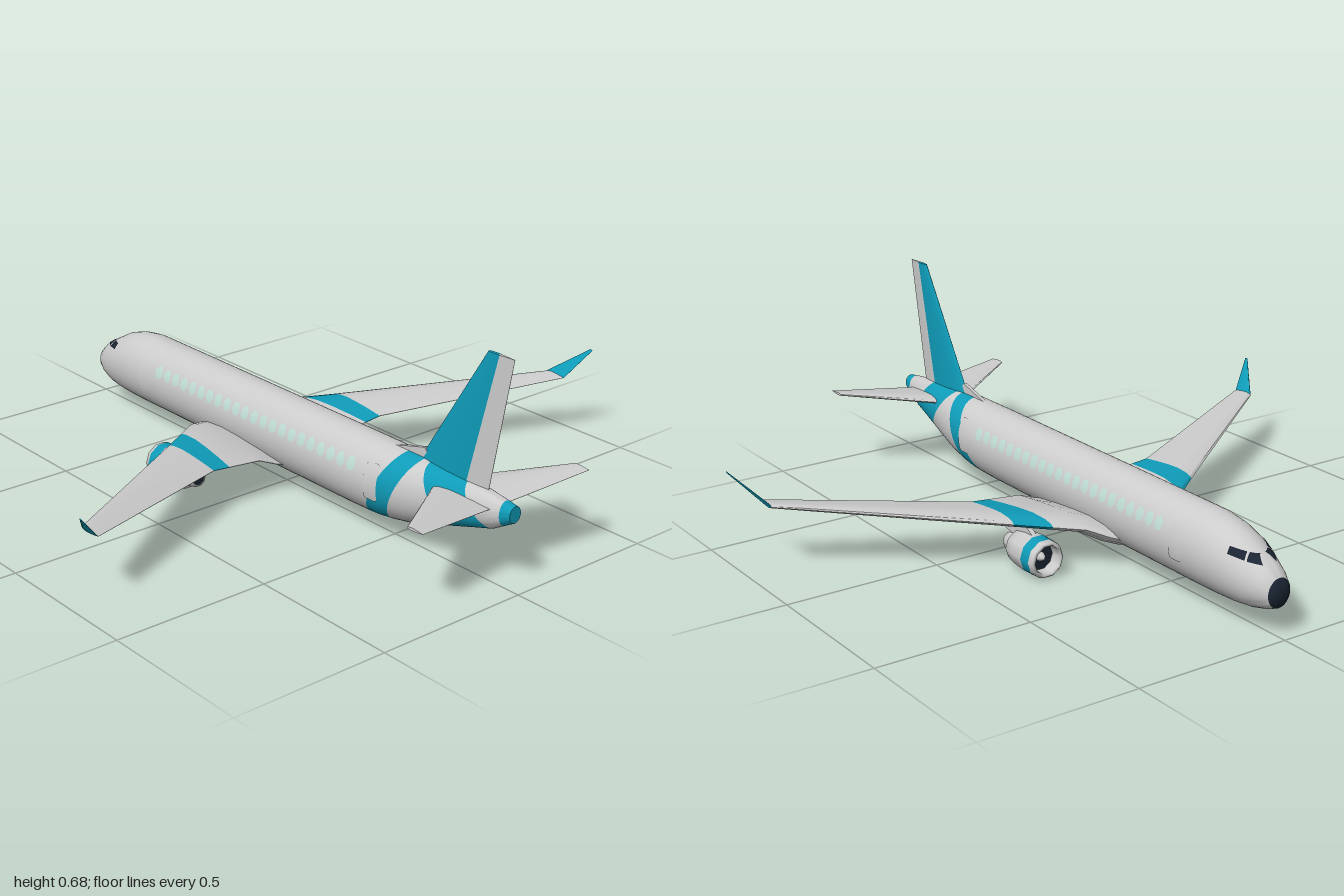
import * as THREE from 'three';
import { toCreasedNormals } from 'three/addons/utils/BufferGeometryUtils.js';

const GREY = 0xcccccc, TEAL = 0x0f9bb8, DARK = 0x1b2533, GLASS = 0xbfdcd4;
const mats = {};
const mat = (c) => (mats[c] ??= new THREE.MeshStandardMaterial({ color: c, side: THREE.DoubleSide }));
const lerp = THREE.MathUtils.lerp;

// Linear lookup in a table whose rows start with the key
function look(table, k) {
  let i = 0;
  while (i < table.length - 2 && k > table[i + 1][0]) i++;
  const a = table[i], b = table[i + 1];
  const f = THREE.MathUtils.clamp((k - a[0]) / (b[0] - a[0]), 0, 1);
  return a.map((v, j) => lerp(v, b[j], f));
}

// Skin closed rings, cap both ends, and split the result into one mesh per colour
function loft(name, rings, colourOf, crease = 0.7) {
  const n = rings[0].length, pos = [], colours = [];
  const tri = (a, b, c, col) => {
    for (const p of [a, b, c]) pos.push(p.x, p.y, p.z);
    colours.push(col);
  };
  for (let i = 0; i < rings.length - 1; i++) {
    for (let j = 0; j < n; j++) {
      const k = (j + 1) % n, col = colourOf(i, j);
      const [a, b, c, d] = [rings[i][j], rings[i][k], rings[i + 1][k], rings[i + 1][j]];
      tri(a, b, c, col);
      tri(a, c, d, col);
    }
  }
  for (const [ring, i] of [[rings[0], 0], [rings.at(-1), rings.length - 2]]) {
    const mid = ring.reduce((s, p) => s.add(p), new THREE.Vector3()).divideScalar(n);
    for (let j = 0; j < n; j++) {
      const a = ring[j], b = ring[(j + 1) % n];
      if (i === 0 && ring === rings[0]) tri(mid, b, a, colourOf(i, j));
      else tri(mid, a, b, colourOf(i, j));
    }
  }
  // Turn the skin outward if its enclosed volume comes out negative
  let vol = 0;
  const v = [0, 1, 2].map(() => new THREE.Vector3());
  for (let t = 0; t < pos.length; t += 9) {
    v.forEach((p, q) => p.fromArray(pos, t + q * 3));
    vol += v[0].dot(v[1].clone().cross(v[2]));
  }
  if (vol < 0) {
    for (let t = 0; t < pos.length; t += 9) {
      for (let q = 0; q < 3; q++) [pos[t + q], pos[t + 3 + q]] = [pos[t + 3 + q], pos[t + q]];
    }
  }
  const geo = new THREE.BufferGeometry();
  geo.setAttribute('position', new THREE.Float32BufferAttribute(pos, 3));
  const smooth = toCreasedNormals(geo, crease);
  const group = new THREE.Group();
  group.name = name;
  for (const col of new Set(colours)) {
    const part = new THREE.BufferGeometry();
    for (const key of ['position', 'normal']) {
      const src = smooth.attributes[key].array, out = [];
      colours.forEach((c, t) => { if (c === col) out.push(...src.slice(t * 9, t * 9 + 9)); });
      part.setAttribute(key, new THREE.Float32BufferAttribute(out, 3));
    }
    const mesh = new THREE.Mesh(part, mat(col));
    mesh.name = name + (col === TEAL ? 'Stripe' : col === DARK ? 'Tip' : 'Skin');
    group.add(mesh);
  }
  return group;
}

// Fuselage stations: x, bottom, top, half width
const BODY = [
  [-0.98, 0.105, 0.16, 0.025], [-0.97, 0.09, 0.18, 0.04], [-0.94, 0.078, 0.205, 0.055],
  [-0.89, 0.066, 0.233, 0.073], [-0.83, 0.06, 0.265, 0.086], [-0.77, 0.058, 0.284, 0.093],
  [-0.7, 0.057, 0.294, 0.097], [0.4, 0.057, 0.294, 0.097], [0.5, 0.062, 0.294, 0.096],
  [0.6, 0.08, 0.294, 0.086], [0.7, 0.11, 0.291, 0.07], [0.8, 0.142, 0.286, 0.052],
  [0.9, 0.172, 0.278, 0.035], [0.975, 0.215, 0.266, 0.022],
];

function fuselage() {
  // Cuts: x at the keel, x at the crown, colour of the skin behind the cut
  const cuts = [
    ...BODY.slice(0, 7).map(([x], i) => [x, x, i ? GREY : DARK]),
    [0.36, 0.42, GREY], [0.43, 0.555, TEAL], [0.475, 0.59, TEAL], [0.52, 0.625, GREY],
    [0.6, 0.632, GREY], [0.69, 0.642, GREY], [0.77, 0.65, TEAL], [0.835, 0.725, TEAL],
    [0.9, 0.8, GREY], [0.92, 0.87, GREY], [0.94, 0.94, TEAL], [0.975, 0.975, TEAL],
  ];
  const n = 36;
  const rings = cuts.map(([xb, xt]) => Array.from({ length: n }, (_, j) => {
    const a = (j / n) * Math.PI * 2, t = (1 + Math.sin(a)) / 2, x = lerp(xb, xt, t);
    const [, lo, hi, w] = look(BODY, x);
    return new THREE.Vector3(x, lerp(lo, hi, t), w * Math.cos(a));
  }));
  return loft('fuselage', rings, (i) => cuts[i][2]);
}

// A patch lying on the fuselage side; map turns u, v in -1..1 into x, y
function sidePatch(name, colour, s, nu, nv, map) {
  const geo = new THREE.PlaneGeometry(2, 2, nu, nv), p = geo.attributes.position;
  for (let i = 0; i < p.count; i++) {
    const [x, y] = map(p.getX(i), p.getY(i));
    const [, lo, hi, w] = look(BODY, x);
    const k = (y - (lo + hi) / 2) / ((hi - lo) / 2);
    const c = Math.sqrt(Math.max(0, 1 - k * k));
    p.setXYZ(i, x, y + 0.002 * k, s * (w + 0.002) * c);
  }
  geo.computeVertexNormals();
  const mesh = new THREE.Mesh(geo, mat(colour));
  mesh.name = name;
  return mesh;
}

// Rounded panel: power 2 is an oval, higher is squarer
const panel = (name, colour, s, x, y, w, h, power) => sidePatch(name, colour, s, 1, 12, (u, v) => {
  const r = Math.sin(v * 1.5);
  return [x + u * w * (1 - Math.abs(r) ** power) ** (1 / power), y + r * h];
});

const quad = (name, s, [a, b, c, d]) => sidePatch(name, DARK, s, 6, 6, (u, v) => {
  const f = (u + 1) / 2, g = (v + 1) / 2;
  return [0, 1].map((k) => lerp(lerp(a[k], b[k], f), lerp(d[k], c[k], f), g));
});

// Aerofoil loop: chord fraction and signed share of the thickness
const UPPER = [[1, 0.04], [0.75, 0.5], [0.5, 0.85], [0.3, 1], [0.12, 0.8], [0.03, 0.42]];
const FOIL = [...UPPER, [0, 0], ...UPPER.map(([c, t]) => [c, -t]).reverse()];

// Lifting surface from a table of z, leading x, trailing x, y, thickness
function wing(name, table, cuts, s) {
  const rings = cuts.map(([zl, zt]) => FOIL.map(([c, t]) => {
    const z = lerp(zl, zt, c), [, xl, xt, y, th] = look(table, z);
    return new THREE.Vector3(lerp(xl, xt, c), y + (t * th) / 2, s * z);
  }));
  return loft(name, rings, (i) => cuts[i][2], 0.5);
}

const MAIN = [
  [0.05, -0.36, 0.07, 0.095, 0.07], [0.1, -0.335, 0.07, 0.11, 0.064], [0.16, -0.295, 0.06, 0.135, 0.048],
  [0.335, -0.172, 0.06, 0.152, 0.034], [0.92, 0.23, 0.31, 0.212, 0.014], [1, 0.345, 0.357, 0.302, 0.005],
];
const MAIN_CUTS = [[0.05, 0.05, GREY], [0.1, 0.1, GREY], [0.16, 0.16, GREY], [0.24, 0.275, TEAL],
  [0.335, 0.335, GREY], [0.92, 0.92, TEAL], [1, 1, TEAL]];
const TAIL = [[0.01, 0.675, 0.905, 0.24, 0.026], [0.325, 0.89, 0.95, 0.273, 0.009]];
const TAIL_CUTS = [[0.01, 0.01, GREY], [0.325, 0.325, GREY]];

// Fin: y, leading x, stripe edge x, trailing x, thickness
function fin() {
  const rows = [[0.24, 0.57, 0.785, 0.865, 0.03], [0.685, 0.85, 0.895, 0.948, 0.012]];
  const rings = rows.map(([y, xl, xs, xt, th]) => FOIL.map(([c, t]) => new THREE.Vector3(
    c < 0.5 ? lerp(xl, xs, c * 2) : lerp(xs, xt, c * 2 - 1), y, (t * th) / 2)));
  return loft('fin', rings, (i, j) => (j >= 2 && j < FOIL.length - 3 ? TEAL : GREY), 0.5);
}

// Thin upright plate from x, y points
function plate(name, pts, thick, z) {
  const shape = new THREE.Shape(pts.map(([x, y]) => new THREE.Vector2(x, y)));
  const geo = new THREE.ExtrudeGeometry(shape, { depth: thick, bevelEnabled: false });
  const mesh = new THREE.Mesh(geo, mat(GREY));
  mesh.position.z = z - thick / 2;
  mesh.name = name;
  return mesh;
}

function engine(s) {
  const group = new THREE.Group();
  group.name = s > 0 ? 'leftEngine' : 'rightEngine';
  // Each part: name, colour, profile of x and radius from rear to front
  const parts = [
    ['nacelle', GREY, [[-0.135, 0.04], [-0.13, 0.05], [-0.17, 0.058], [-0.225, 0.062]]],
    ['nacelleStripe', TEAL, [[-0.225, 0.062], [-0.262, 0.06]]],
    ['inletLip', GREY, [[-0.262, 0.06], [-0.279, 0.055], [-0.285, 0.049], [-0.276, 0.045], [-0.235, 0.043]]],
    ['fan', DARK, [[-0.24, 0.044], [-0.24, 0.014]]],
    ['spinner', GREY, [[-0.24, 0.015], [-0.255, 0.009], [-0.262, 0]]],
    ['core', GREY, [[-0.08, 0.022], [-0.08, 0.027], [-0.105, 0.034], [-0.14, 0.041]]],
    ['exhaust', DARK, [[-0.082, 0], [-0.082, 0.023]]],
  ];
  for (const [name, colour, pts] of parts) {
    const geo = new THREE.LatheGeometry(pts.map(([x, r]) => new THREE.Vector2(r, -x)), 10);
    const mesh = new THREE.Mesh(geo.rotateZ(Math.PI / 2), mat(colour));
    mesh.position.set(0, 0.064, s * 0.288);
    mesh.name = name;
    group.add(mesh);
  }
  group.add(plate('pylon', [[-0.22, 0.115], [-0.12, 0.09], [-0.06, 0.105], [0, 0.148], [-0.16, 0.148]], 0.016, s * 0.288));
  return group;
}

export function createModel() {
  const model = new THREE.Group();
  model.name = 'airliner';
  model.add(fuselage(), fin());
  model.add(plate('finFillet', [[0.47, 0.285], [0.66, 0.28], [0.62, 0.325]], 0.012, 0));
  for (const s of [1, -1]) {
    const side = s > 0 ? 'left' : 'right';
    model.add(wing(side + 'Wing', MAIN, MAIN_CUTS, s));
    model.add(wing(side + 'Tailplane', TAIL, TAIL_CUTS, s));
    model.add(engine(s));
    // Cabin windows, doors and cockpit glass
    for (let i = 0; i < 22; i++) model.add(panel('cabinWindow', GLASS, s, -0.55 + i * 0.0452, 0.223, 0.017, 0.02, 2));
    for (const x of [-0.632, 0.488]) model.add(panel('door', GREY, s, x, 0.195, 0.027, 0.056, 8));
    model.add(quad('windscreen', s, [[-0.928, 0.206], [-0.89, 0.211], [-0.88, 0.231], [-0.897, 0.2285]]));
    model.add(quad('cockpitSideWindow', s, [[-0.884, 0.212], [-0.832, 0.22], [-0.828, 0.239], [-0.874, 0.232]]));
  }
  return model;
}
